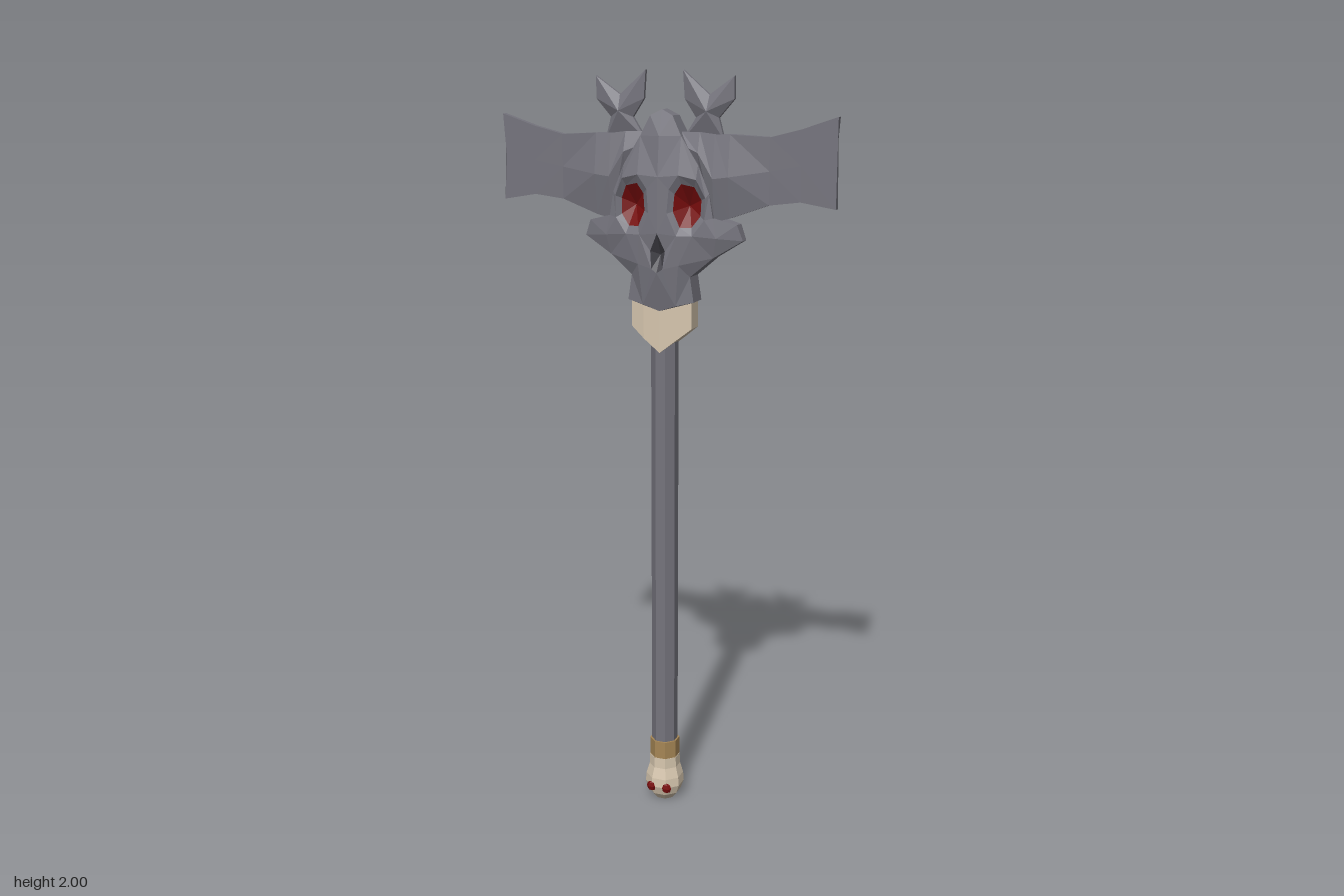
import * as THREE from 'three';

const mat = (name, color) => {
  const m = new THREE.MeshStandardMaterial({ color });
  m.name = name;
  return m;
};

// Flat-shaded geometry from a list of polygons (arrays of [x, y, z])
function fromPolygons(polys) {
  const pos = [];
  for (const p of polys)
    for (let i = 1; i < p.length - 1; i++) pos.push(...p[0], ...p[i], ...p[i + 1]);
  const g = new THREE.BufferGeometry();
  g.setAttribute('position', new THREE.Float32BufferAttribute(pos, 3));
  g.computeVertexNormals();
  return g;
}

const flat = (g) => {
  const n = g.toNonIndexed();
  n.computeVertexNormals();
  return n;
};

// Mirror polygons across x, keeping them outward
const mirrored = (polys) => polys.map((p) => p.map(([x, y, z]) => [-x, y, z]).reverse());
const both = (polys) => [...polys, ...mirrored(polys)];

// Skin a row of rings that run counter-clockwise about the loft direction
function loft(rings) {
  const polys = [[...rings[0]].reverse(), rings[rings.length - 1]];
  for (let k = 0; k < rings.length - 1; k++) {
    const a = rings[k], b = rings[k + 1];
    a.forEach((_, i) => {
      const j = (i + 1) % a.length;
      polys.push([a[i], a[j], b[j]], [a[i], b[j], b[i]]);
    });
  }
  return polys;
}

// Mirrored faces, each triangle turned towards +z or -z
function facing(verts, faces, dir) {
  const tris = [];
  for (const f of faces)
    for (let i = 1; i < f.length - 1; i++) {
      const [a, b, c] = [verts[f[0]], verts[f[i]], verts[f[i + 1]]];
      const nz = (b[0] - a[0]) * (c[1] - a[1]) - (b[1] - a[1]) * (c[0] - a[0]);
      tris.push(nz * dir > 0 ? [a, b, c] : [a, c, b]);
    }
  return both(tris);
}

export function createModel() {
  const root = new THREE.Group();
  root.name = 'skullAxe';
  const steel = mat('steel grey', 0x75747d);
  const dark = mat('dark grey', 0x45444b);
  const bone = mat('bone', 0xd6c6ae);
  const gold = mat('dull gold', 0xa68655);
  const red = mat('deep red', 0x780c0c);
  const add = (name, geo, m) => {
    const mesh = new THREE.Mesh(geo, m);
    mesh.name = name;
    root.add(mesh);
    return mesh;
  };

  // Shaft and collar
  const tube = (r, y0, y1) =>
    flat(new THREE.CylinderGeometry(r, r, y1 - y0, 8, 1, false, Math.PI / 8).translate(0, (y0 + y1) / 2, 0));
  add('shaft', tube(0.036, 0.1, 1.42), steel);
  add('collar', tube(0.041, 0.12, 0.18), gold);

  // Pommel: small bone skull with red eyes
  const profile = [[0, 0], [0.028, 0], [0.045, 0.02], [0.054, 0.045], [0.052, 0.07], [0.043, 0.1], [0.042, 0.13], [0, 0.13]];
  const pommel = new THREE.LatheGeometry(profile.map(([x, y]) => new THREE.Vector2(x, y)), 8, Math.PI / 8);
  add('pommel', flat(pommel), bone);
  for (const s of [-1, 1]) {
    const eye = new THREE.SphereGeometry(0.015, 6, 4).scale(1, 1, 0.6).translate(s * 0.022, 0.045, 0.046);
    add('pommelEye', flat(eye), red);
  }

  // Bone guard under the head
  const guard = [[-0.083, 1.355, 0.024], [-0.045, 1.325, 0.036], [0, 1.29, 0.039], [0.045, 1.325, 0.036], [0.083, 1.355, 0.024]]
    .map(([x, y, z]) => [[x, 1.43, z], [x, y, z], [x, y, -z], [x, 1.43, -z]]);
  add('guard', fromPolygons(loft(guard)), bone);

  // Wing blades: x, top, bottom, half thickness at the edges and the middle
  const wing = [
    [0.05, 1.85, 1.79, 0.012, 0.025], [0.10, 1.85, 1.75, 0.018, 0.034], [0.14, 1.845, 1.63, 0.02, 0.037],
    [0.18, 1.845, 1.64, 0.02, 0.035], [0.28, 1.84, 1.675, 0.01, 0.011], [0.36, 1.86, 1.685, 0.01, 0.01],
    [0.45, 1.89, 1.67, 0.01, 0.01],
  ].map(([x, t, b, e, m]) => {
    const c = (t + b) / 2, xm = x > 0.4 ? x - 0.008 : x;
    return [[x, t, e], [xm, c, m], [x, b, e], [x, b, -e], [xm, c, -m], [x, t, -e]];
  });
  add('wingBlades', fromPolygons(both(loft(wing))), steel);

  // Forked horns with a ridge in the middle
  const horn = [[0.16, 1.83], [0.145, 1.885], [0.185, 1.93], [0.185, 1.985], [0.12, 1.94], [0.05, 2], [0.055, 1.93], [0.085, 1.885], [0.05, 1.83]];
  const hornFaces = [], edge = 0.005;
  horn.forEach(([x, y], i) => {
    const [u, v] = horn[(i + 1) % horn.length];
    hornFaces.push([[x, y, edge], [u, v, edge], [0.118, 1.9, 0.024]]);
    hornFaces.push([[u, v, -edge], [x, y, -edge], [0.118, 1.9, -0.024]]);
    hornFaces.push([[x, y, -edge], [u, v, -edge], [u, v, edge], [x, y, edge]]);
  });
  add('horns', fromPolygons(both(hornFaces)), steel);

  // Half outline of the skull, crown to chin
  const rim = [
    [0, 1.905, 0.02], [0.03, 1.89, 0.025], [0.055, 1.84, 0.03], [0.10, 1.77, 0.03], [0.13, 1.70, 0.03], [0.14, 1.64, 0.03],
    [0.20, 1.625, 0.018], [0.215, 1.585, 0.014], [0.14, 1.54, 0.025], [0.08, 1.49, 0.03], [0.09, 1.425, 0.03], [0, 1.40, 0.04],
  ];
  const back = (p) => [p[0], p[1], -p[2]];
  const walls = [];
  for (let i = 0; i < rim.length - 1; i++)
    walls.push([rim[i], rim[i + 1], back(rim[i + 1]), back(rim[i])]);
  add('skullSides', fromPolygons(both(walls)), steel);

  // Skull face: brow, cheek, nose and jaw points, then the eye socket rings
  const eyeRing = [
    [0.03, 1.71, 0.052], [0.055, 1.745, 0.052], [0.10, 1.735, 0.045], [0.122, 1.69, 0.036],
    [0.12, 1.635, 0.038], [0.09, 1.595, 0.045], [0.05, 1.595, 0.053], [0.025, 1.65, 0.054],
  ];
  const innerRing = eyeRing.map(([x, y, z]) => [0.073 + (x - 0.073) * 0.72, 1.668 + (y - 1.668) * 0.72, z - 0.01]);
  const face = [
    ...rim, [0, 1.84, 0.042], [0, 1.74, 0.053], [0, 1.60, 0.057], ...eyeRing, ...innerRing,
    [0.02, 1.555, 0.052], [0.015, 1.51, 0.058], [0, 1.50, 0.06], [0.055, 1.52, 0.05], [0.045, 1.415, 0.042],
    [0, 1.545, 0.03], [0.15, 1.59, 0.034], [0.073, 1.668, 0.012],
  ];
  const faceFaces = [
    [0, 1, 12], [1, 2, 12], [2, 16, 13, 12], [2, 3, 17, 16], [3, 4, 18, 17], [4, 5, 19, 18],
    [13, 16, 15], [13, 15, 22], [13, 22, 14], [22, 21, 14],
    [14, 21, 31], [21, 34, 32, 31], [21, 20, 34],
    [19, 5, 37], [5, 6, 37], [6, 7, 37], [7, 8, 37], [19, 37, 20], [20, 37, 8], [20, 8, 34], [8, 9, 34],
    [9, 10, 35, 34], [34, 35, 32], [32, 35, 33], [33, 35, 11], [10, 11, 35],
  ];
  const pits = [];
  for (let i = 0; i < 8; i++) {
    const j = (i + 1) % 8;
    faceFaces.push([15 + i, 15 + j, 23 + j, 23 + i]);
    pits.push([23 + i, 23 + j, 38]);
  }
  add('skullFace', fromPolygons(facing(face, faceFaces, 1)), steel);
  add('eyeSockets', fromPolygons(facing(face, pits, 1)), red);
  add('noseCavity', fromPolygons(facing(face, [[14, 31, 36], [31, 32, 36], [32, 33, 36]], 1)), dark);

  // Back of the skull
  const rear = [
    ...rim, [0, 1.84, 0.045], [0, 1.76, 0.056], [0, 1.64, 0.055], [0, 1.58, 0.061], [0, 1.48, 0.05],
    [0.06, 1.76, 0.047], [0.075, 1.66, 0.049], [0.10, 1.58, 0.042], [0.05, 1.48, 0.044],
  ].map(back);
  const rearFaces = [
    [0, 1, 12], [1, 2, 12], [2, 17, 13, 12], [2, 3, 17], [3, 4, 18, 17], [13, 17, 18, 14], [4, 5, 18],
    [5, 19, 18], [5, 6, 19], [6, 7, 19], [7, 8, 19], [14, 18, 19, 15], [8, 9, 20, 19], [15, 19, 20, 16],
    [9, 10, 20], [20, 10, 11], [16, 20, 11],
  ];
  add('skullBack', fromPolygons(facing(rear, rearFaces, -1)), steel);

  return root;
}
